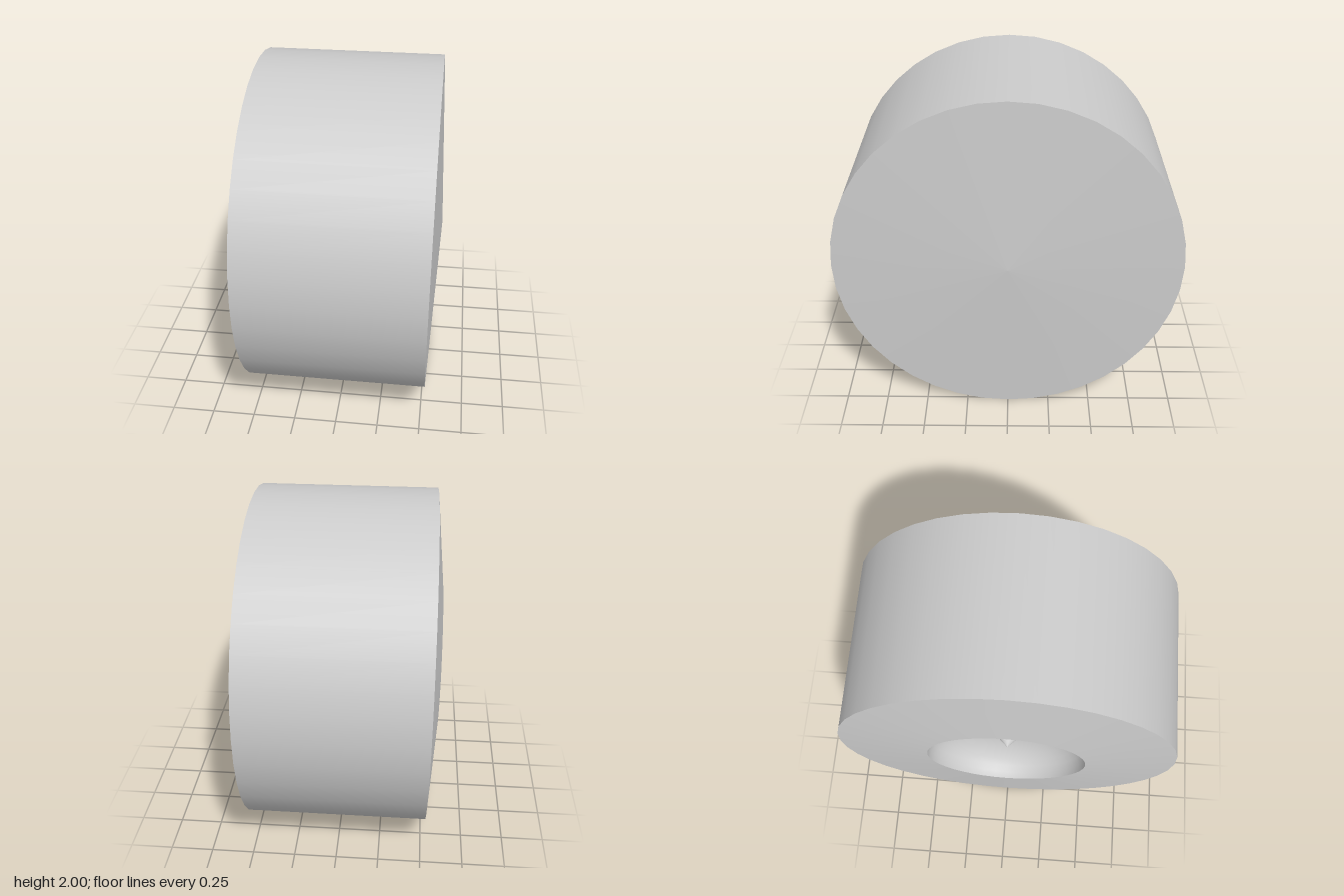
import * as THREE from 'three';

const SEGMENTS = 40;

export function createModel() {
  const model = new THREE.Group();
  model.name = 'wheel';
  const material = new THREE.MeshStandardMaterial({ color: 0xcccccc });

  // Turned body: profiles are [radius, position along x], from -x to +x
  const axis = new THREE.Group();
  axis.name = 'turnedBody';
  axis.rotation.z = -Math.PI / 2;
  axis.position.y = 1;
  model.add(axis);

  function turn(name, profile) {
    const points = profile.map(([r, x]) => new THREE.Vector2(r, x));
    const mesh = new THREE.Mesh(new THREE.LatheGeometry(points, SEGMENTS), material);
    mesh.name = name;
    axis.add(mesh);
  }

  // Rounded dish: elliptical curve from the spike's foot out to the rim
  const dish = [];
  for (let i = 0; i <= 8; i++) {
    const a = (i / 8) * Math.PI / 2;
    dish.push([0.12 + 0.35 * Math.sin(a), -0.57 + 0.2 * Math.cos(a)]);
  }

  turn('hubSpike', [[0, -0.49], [0.12, -0.37]]);
  turn('hubDish', dish);
  turn('recessedFace', [[0.47, -0.57], [1, -0.52]]);
  turn('tread', [[1, -0.52], [1, 0.52]]);
  turn('conicalFace', [[1, 0.52], [0, 0.565]]);

  return model;
}
